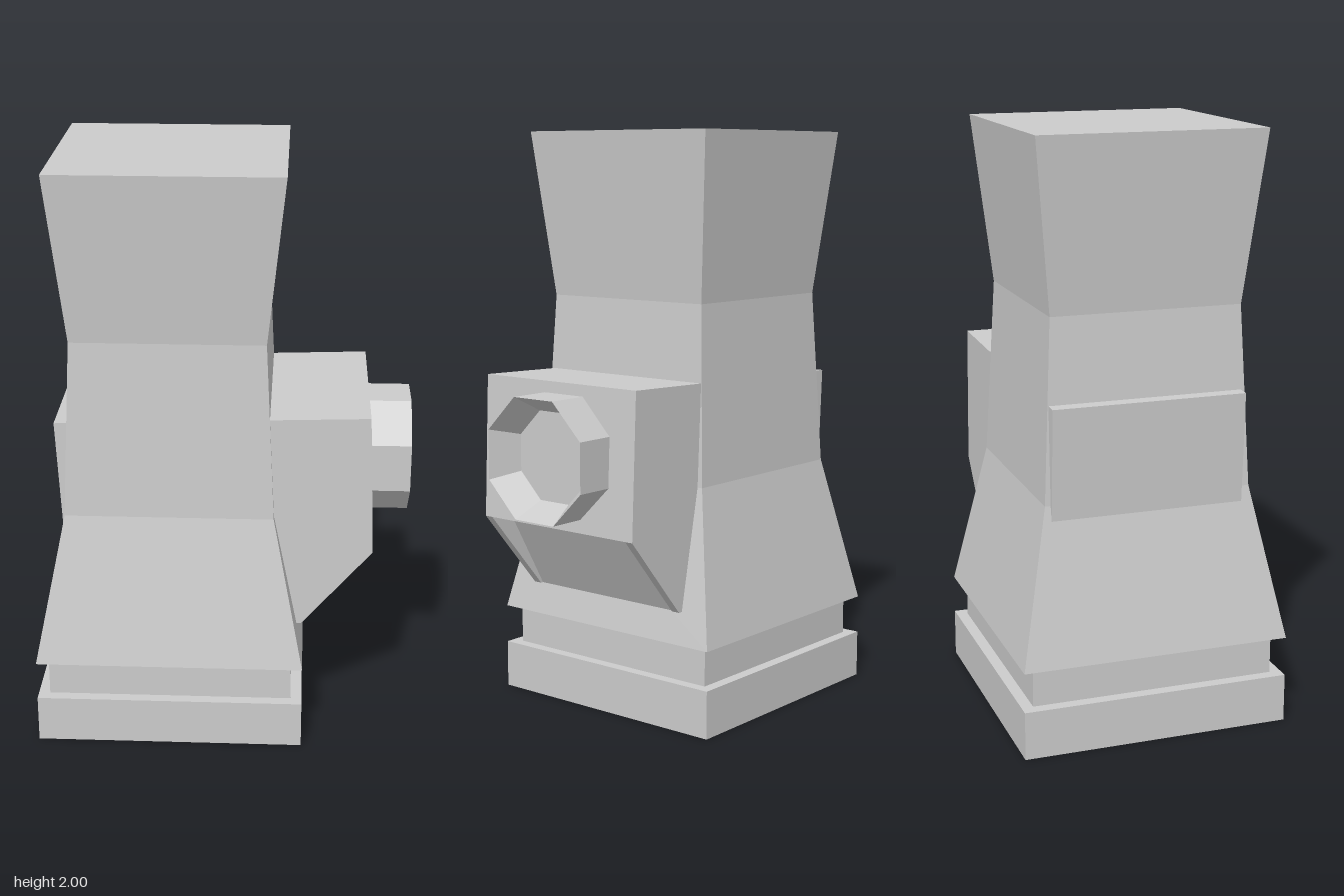
import * as THREE from 'three';

const grey = new THREE.MeshStandardMaterial({ color: 0xcccccc, flatShading: true, side: THREE.DoubleSide });
const v2 = ([x, y]) => new THREE.Vector2(x, y);

function addMesh(group, name, geometry, x = 0, y = 0, z = 0) {
  const mesh = new THREE.Mesh(geometry, grey);
  mesh.name = name;
  mesh.position.set(x, y, z);
  group.add(mesh);
}

// Prism with regular sides; radii in the profile are measured to the flats
function prism(sides, profile) {
  const k = 1 / Math.cos(Math.PI / sides);
  const points = profile.map(([r, y]) => new THREE.Vector2(r * k, y));
  return new THREE.LatheGeometry(points, sides, Math.PI / sides);
}

// Side profile in x/y, extruded along z
function slab(profile, depth) {
  return new THREE.ExtrudeGeometry(new THREE.Shape(profile.map(v2)), { depth, bevelEnabled: false });
}

export function createModel() {
  const model = new THREE.Group();
  const cx = -0.182;

  // Square tower: open plinth, neck, flared skirt, waist and head
  addMesh(model, 'tower', prism(4, [
    [0.459, 0], [0.459, 0.165], [0.42, 0.165], [0.42, 0.3], [0.459, 0.3],
    [0.354, 0.82], [0.325, 1.43], [0.385, 2], [0, 2],
  ]), cx);
  addMesh(model, 'plinthCeiling', prism(4, [[0, 0.165], [0.42, 0.165]]), cx);

  // Open octagonal socket hanging under the ceiling
  addMesh(model, 'bottomSocket', prism(8, [[0.15, 0.04], [0.15, 0.165]]), -0.14, 0, -0.01);

  // Housing running through the tower, its sloping underside recessed between two cheeks
  const back = [[0.1, 0.41], [-0.54, 0.65], [-0.565, 1.145], [0.49, 1.18], [0.51, 0.69]];
  const cheek = [...back, [0.27, 0.41]];
  const core = [...back, [0.42, 0.69], [0.26, 0.41]];
  addMesh(model, 'housingCore', slab(core, 0.6), 0, 0, -0.305);
  for (const [name, z] of [['leftCheek', -0.335], ['rightCheek', 0.295]]) {
    addMesh(model, name, slab(cheek, 0.03), 0, 0, z);
  }

  // Octagonal side port with a tapered recess
  const port = prism(8, [[0.203, 0.48], [0.203, 0.638], [0.15, 0.54], [0, 0.54]]);
  port.rotateZ(-Math.PI / 2);
  addMesh(model, 'sidePort', port, 0, 0.938, -0.026);

  return model;
}
